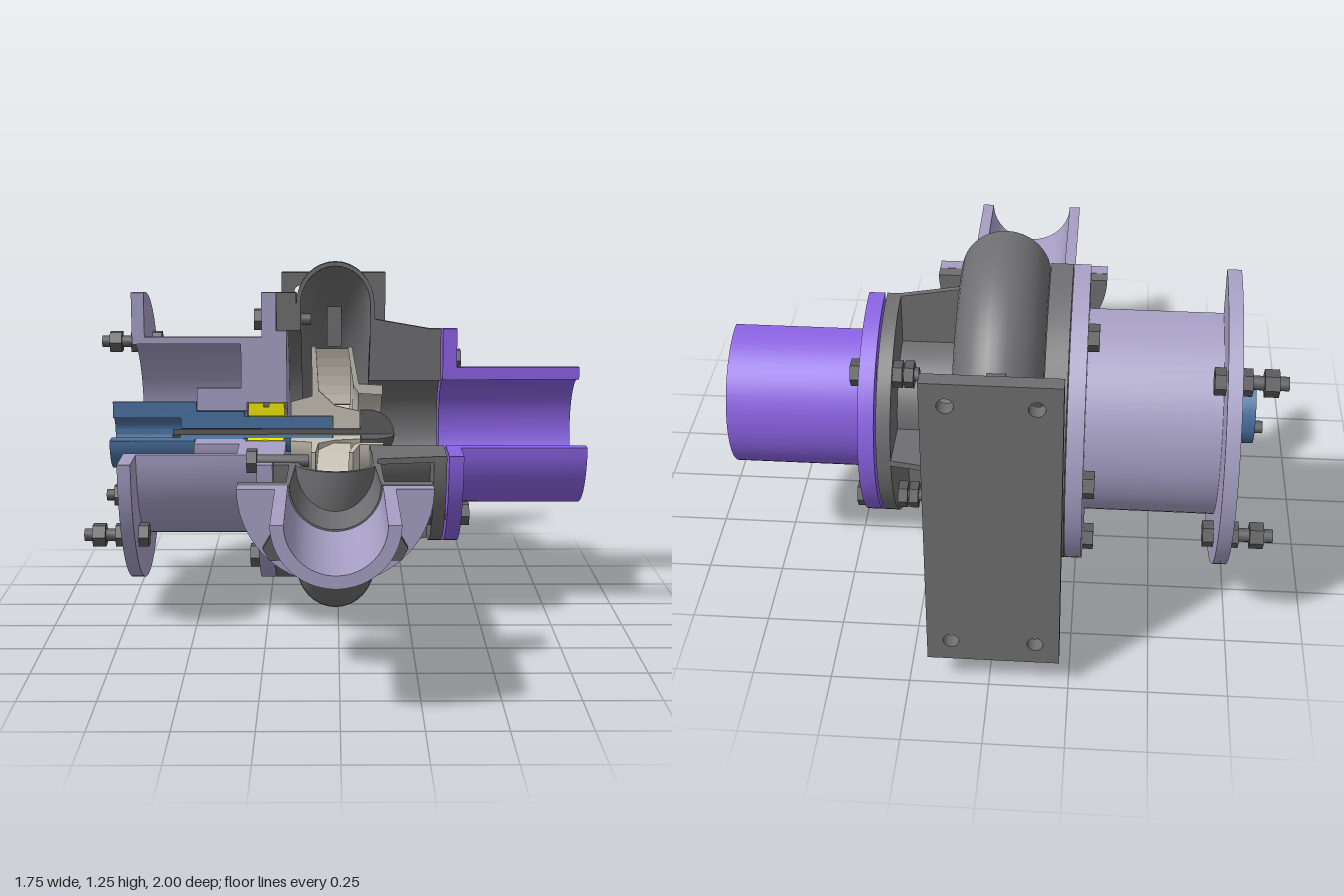
import * as THREE from 'three';
import { mergeGeometries, toCreasedNormals } from 'three/addons/utils/BufferGeometryUtils.js';

const mat = (color) => new THREE.MeshStandardMaterial({ color });
const V = (a, r) => new THREE.Vector2(a, r);
const THREE_QUARTERS = Math.PI * 1.5;

// Sweeps a closed [along x, radius] profile about the x axis, with solid cut faces.
// Angle 0 points to +z and grows through -y, -z, +y.
function revolve(profile, sweep = THREE_QUARTERS) {
  const loop = profile.map(([a, r]) => V(r, a));
  if (THREE.ShapeUtils.isClockWise(loop)) loop.reverse();
  loop.push(loop[0].clone());
  const body = new THREE.LatheGeometry(loop, Math.round(sweep * 11), 0, sweep);
  body.rotateZ(-Math.PI / 2);
  const start = new THREE.ShapeGeometry(new THREE.Shape(profile.map(([a, r]) => V(a, -r))));
  start.rotateX(-Math.PI / 2);
  const end = new THREE.ShapeGeometry(new THREE.Shape(profile.map(([a, r]) => V(a, r))));
  end.rotateX(sweep + Math.PI / 2);
  return mergeGeometries([toCreasedNormals(body, 0.6), start.toNonIndexed(), end.toNonIndexed()]);
}

// Points along half an ellipse, over the top of the spiral chamber
function arch(cx, cr, rx, rr, from, to) {
  return Array.from({ length: 17 }, (_, i) => {
    const t = from + (to - from) * i / 16;
    return [cx + rx * Math.cos(t), cr + rr * Math.sin(t)];
  });
}

export function createModel() {
  const model = new THREE.Group();
  model.name = 'cutawayPump';
  const pump = new THREE.Group();
  pump.name = 'pumpOnAxis';
  pump.position.set(0, 0.635, -0.31);
  model.add(pump);

  const steel = mat(0x6e6e70), lavender = mat(0xa69fc4), purple = mat(0x8a62e2);
  const blue = mat(0x4a72a0), yellow = mat(0xf0e800), beige = mat(0xc6c0b4), dark = mat(0x5c5c5e);

  const add = (name, geometry, material, parent = pump) => {
    const mesh = new THREE.Mesh(geometry, material);
    mesh.name = name;
    parent.add(mesh);
    return mesh;
  };

  // Bolt along x: a shank plus hexagons given as [start, end] ranges
  const bolt = (name, y, z, x0, x1, hexes, parent = pump) => {
    const rod = (a, b, r, sides) => {
      const g = new THREE.CylinderGeometry(r, r, b - a, sides);
      return toCreasedNormals(g.rotateZ(Math.PI / 2).translate((a + b) / 2, y, z), 0.6);
    };
    const parts = [rod(x0, x1, 0.022, 12), ...hexes.map(([a, b]) => rod(a, b, 0.043, 6))];
    add(name, mergeGeometries(parts), dark, parent);
  };

  // Casing: back flange, spiral chamber, suction neck and its flange
  add('casing', revolve([
    [-0.22, 0.38], [-0.22, 0.515], [-0.15, 0.515],
    ...arch(-0.01, 0.475, 0.14, 0.15, Math.PI, 0),
    [0.135, 0.36], [0.14, 0.218], [0.325, 0.218], [0.325, 0.385], [0.37, 0.385], [0.37, 0.198],
    [0.11, 0.198], [0.115, 0.36],
    ...arch(-0.01, 0.475, 0.125, 0.135, 0, Math.PI),
    [-0.135, 0.38],
  ]), steel);

  // Ribs on the suction neck, kept clear of the cut-away quarter
  const ribShape = new THREE.Shape([[0.12, 0.21], [0.115, 0.45], [0.13, 0.42], [0.33, 0.385], [0.33, 0.21]]
    .map(([a, r]) => V(a, r)));
  [-0.02, 0, -0.01, -0.01].forEach((offset, i) => {
    const rib = new THREE.ExtrudeGeometry(ribShape, { depth: 0.02, bevelEnabled: false });
    add('neckRib', rib.translate(0, 0, offset).rotateX(i * Math.PI / 2), steel);
  });

  // Suction pipe
  add('suctionPipe', revolve([
    [0.377, 0.2], [0.377, 0.385], [0.428, 0.385], [0.428, 0.245], [0.87, 0.245], [0.87, 0.2],
  ]), purple);

  // Bearing lantern: two flanges, tube and inner hub with a seal pocket
  add('bearingLantern', revolve([
    [-0.74, 0.33], [-0.74, 0.515], [-0.695, 0.515], [-0.695, 0.355], [-0.275, 0.355], [-0.275, 0.515],
    [-0.222, 0.515], [-0.222, 0.378], [-0.185, 0.378], [-0.185, 0.117], [-0.33, 0.117], [-0.33, 0.088],
    [-0.51, 0.088], [-0.51, 0.17], [-0.35, 0.17], [-0.35, 0.33],
  ]), lavender);

  // Shaft, draw rod and seal
  add('shaft', revolve([
    [-0.815, 0.06], [-0.815, 0.12], [-0.512, 0.12], [-0.512, 0.085], [-0.34, 0.085], [-0.34, 0.065],
    [-0.02, 0.065], [-0.02, 0.021], [-0.57, 0.021], [-0.57, 0.06],
  ]), blue);
  add('drawRod', revolve([[-0.6, 0], [-0.6, 0.02], [0.09, 0.02], [0.09, 0]]), dark);
  add('shaftSeal', revolve([
    [-0.325, 0.067], [-0.325, 0.115], [-0.27, 0.115], [-0.27, 0.1], [-0.25, 0.1], [-0.25, 0.115],
    [-0.195, 0.115], [-0.195, 0.067],
  ]), yellow);

  // Impeller: hub disc, front shroud, curved blades and nose nut
  add('impellerHub', revolve([
    [-0.17, 0.067], [-0.17, 0.12], [-0.095, 0.14], [-0.095, 0.32], [-0.08, 0.32], [-0.07, 0.16],
    [-0.01, 0.105], [0.08, 0.085], [0.08, 0.021], [-0.018, 0.021], [-0.018, 0.067],
  ]), beige);
  add('impellerShroud', revolve([
    [0.035, 0.32], [0.05, 0.32], [0.075, 0.185], [0.16, 0.18], [0.16, 0.145], [0.075, 0.15], [0.055, 0.18],
  ]), beige);
  const bladeShape = new THREE.Shape();
  bladeShape.moveTo(0.11, 0);
  bladeShape.quadraticCurveTo(0.22, 0.015, 0.297, 0.1);
  bladeShape.lineTo(0.29, 0.112);
  bladeShape.quadraticCurveTo(0.21, 0.03, 0.11, 0.012);
  for (let i = 0; i < 9; i++) {
    const blade = new THREE.ExtrudeGeometry(bladeShape, { depth: 0.13, bevelEnabled: false, curveSegments: 6 });
    blade.rotateY(Math.PI / 2).translate(-0.085, 0, 0);
    add('impellerBlade', blade.rotateX((-175 + 30 * i) * Math.PI / 180), beige);
  }
  add('noseNut', revolve([
    [0.082, 0], [0.082, 0.09], [0.12, 0.09], [0.155, 0.08], [0.185, 0.055], [0.2, 0.028], [0.205, 0],
  ]), dark);

  // Discharge branch: lower half only, its local x axis pointing forward
  const discharge = new THREE.Group();
  discharge.name = 'dischargeBranch';
  discharge.position.set(-0.013, 0, 0.31);
  discharge.rotation.y = -Math.PI / 2;
  pump.add(discharge);
  add('dischargeNeck', revolve([
    [0.18, 0.13], [0.18, 0.153], [0.45, 0.157], [0.45, 0.31], [0.499, 0.31], [0.499, 0.145],
  ], Math.PI), steel, discharge);
  add('dischargePipe', revolve([
    [0.501, 0.15], [0.501, 0.31], [0.553, 0.31], [0.553, 0.19], [1, 0.19], [1, 0.15],
  ], Math.PI), lavender, discharge);
  for (const side of [-1, 1]) {
    bolt('dischargeBolt', -0.185, side * 0.185, 0.375, 0.57, [[0.385, 0.415], [0.42, 0.45], [0.553, 0.585]], discharge);
  }

  // Flange bolts in the three remaining quarters
  for (const [sy, sz] of [[1, -1], [-1, -1], [-1, 1]]) {
    bolt('lanternBolt', sy * 0.297, sz * 0.297, -0.885, -0.69, [[-0.855, -0.81], [-0.775, -0.74], [-0.695, -0.66]]);
    bolt('suctionBolt', sy * 0.237, sz * 0.237, 0.245, 0.44, [[0.26, 0.29], [0.295, 0.325], [0.428, 0.458]]);
    bolt('casingBolt', sy * 0.39, sz * 0.225, -0.3, -0.1, [[-0.31, -0.275]]);
  }
  for (const z of [-0.45, 0.45]) bolt('casingBolt', 0, z, -0.3, -0.1, [[-0.31, -0.275]]);

  // Mounting plate with corner holes, and its two arms
  const plate = new THREE.Shape([V(-0.22, -0.52), V(0.19, -0.52), V(0.19, 0.52), V(-0.22, 0.52)]);
  for (const sx of [-1, 1]) for (const sy of [-1, 1]) {
    const hole = new THREE.Path();
    hole.absarc(-0.015 + sx * 0.13, sy * 0.445, 0.025, 0, Math.PI * 2, true);
    plate.holes.push(hole);
  }
  const plateGeometry = new THREE.ExtrudeGeometry(plate, { depth: 0.05, bevelEnabled: false });
  add('mountingPlate', plateGeometry.translate(0, 0, -0.69), steel);
  for (const side of [-1, 1]) {
    const arm = new THREE.BoxGeometry(0.056, 0.155, 0.2);
    add('mountingArm', arm.translate(-0.013, side * 0.333, -0.545), steel);
  }
  return model;
}
